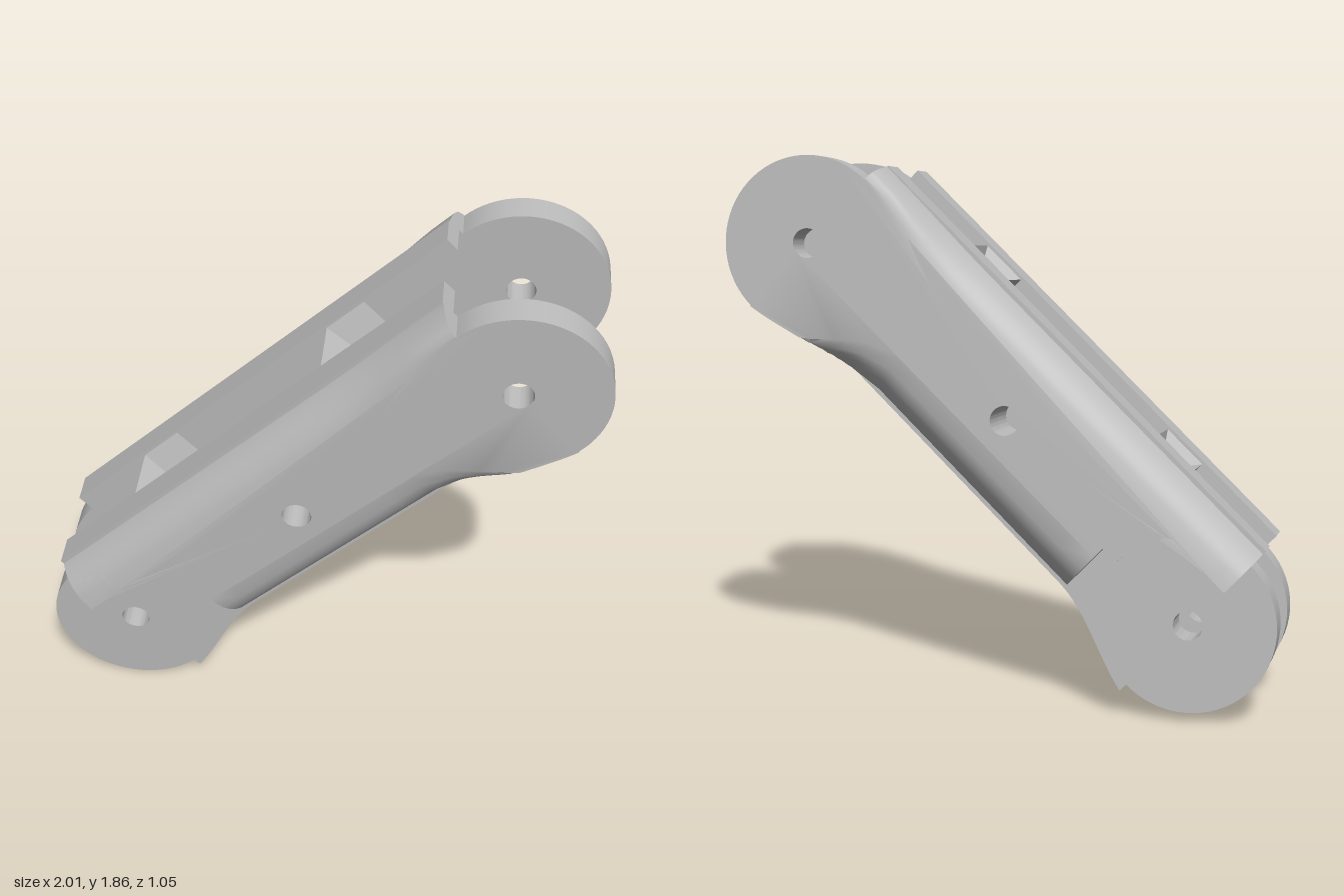
import * as THREE from 'three';
import { toCreasedNormals } from 'three/addons/utils/BufferGeometryUtils.js';

// Link space: x runs along the link, y towards its open edge, z across it.
const L = 1.807;        // distance between the two pivots
const R = 0.295;        // pivot ear radius
const CUT = 0.315;      // clearance radius around the neighbouring ear
const TOP = 0.365, BOTTOM = -0.217;
const IN = 0.11, MID = 0.22, OUT = 0.325;
const smooth = THREE.MathUtils.smoothstep;

function holeAt(x, y, r) {
  return new THREE.Path().absarc(x, y, r, 0, Math.PI * 2, true);
}

// Side outline: ear at x = 0, clearance cut around x = L
function earOutline(lip) {
  const p = [];
  const add = (x, y) => p.push(new THREE.Vector2(x, y));
  // flared lower edge, from the lip to the straight bottom
  for (let i = 0; i <= 12; i++) {
    const x = 0.4 * i / 12;
    add(x, THREE.MathUtils.lerp(lip, BOTTOM, smooth(x, -0.08, 0.4)));
  }
  for (let i = 1; i <= 10; i++) add(0.4 + (L - 0.376 - 0.4) * i / 10, BOTTOM);
  // step and round clearance
  add(L - 0.376, 0);
  for (let i = 0; i <= 16; i++) {
    const a = Math.PI - (Math.PI / 2) * i / 16;
    add(L + CUT * Math.cos(a), CUT * Math.sin(a));
  }
  // straight top edge
  for (let i = 0; i <= 18; i++) add(L * (1 - i / 18), TOP);
  // round ear
  for (let i = 0; i <= 36; i++) {
    const a = Math.PI / 2 + Math.PI * i / 36;
    add(R * Math.cos(a), R * Math.sin(a));
  }
  return p;
}

function plate(points, holes, z0, z1, steps) {
  const shape = new THREE.Shape(points);
  shape.holes.push(...holes);
  const g = new THREE.ExtrudeGeometry(shape, {
    depth: z1 - z0, steps, bevelEnabled: false, curveSegments: 24,
  });
  return g.translate(0, 0, z0);
}

// Round the long outer edges, fading out towards the flat upper ear
function roundEdges(g) {
  const pos = g.attributes.position, r = OUT - 0.15;
  for (let i = 0; i < pos.count; i++) {
    const x = pos.getX(i), y = pos.getY(i);
    const d = Math.min(r, pos.getZ(i) - 0.15);
    const inset = r - Math.sqrt(Math.max(0, r * r - d * d));
    const fade = smooth(x, 1.3, 1.75);
    const high = TOP - inset * (1 - 0.65 * fade);
    const low = fade < 1 ? BOTTOM + inset * (1 - fade) - 0.1 * fade : -1;
    pos.setY(i, Math.max(low, Math.min(high, y)));
  }
  return g;
}

export function createModel() {
  const metal = new THREE.MeshStandardMaterial({ color: 0xbdbdbd, side: THREE.DoubleSide });
  metal.name = 'grey metal';

  const link = new THREE.Group();
  link.name = 'armLink';
  const add = (parent, name, geometry) => {
    const m = new THREE.Mesh(toCreasedNormals(geometry, 0.6), metal);
    m.name = name;
    parent.add(m);
    return m;
  };

  // Side plates: inner layer carries the lower ear, outer layer the upper ear
  const inner = plate(earOutline(-0.335),
    [holeAt(0, 0, 0.05), holeAt(L / 2, 0.063, 0.05)], IN, MID, 1);
  const outerPoints = earOutline(-0.305).map(p => new THREE.Vector2(L - p.x, p.y));
  const outer = roundEdges(plate(outerPoints,
    [holeAt(L, 0, 0.05), holeAt(L / 2, 0.063, 0.05)], MID, OUT, 10));

  // Raised ring around the lower pivot, on the inner face
  const ring = new THREE.Shape().absarc(0, 0, 0.085, 0, Math.PI * 2, false);
  const boss = plate(ring.getPoints(24), [holeAt(0, 0, 0.05)], IN - 0.02, IN, 1);

  for (const [name, side] of [['frontSide', 1], ['backSide', -1]]) {
    const g = new THREE.Group();
    g.name = name;
    g.scale.z = side;
    add(g, 'innerPlate', inner);
    add(g, 'outerPlate', outer);
    add(g, 'pivotBoss', boss);
    link.add(g);
  }

  // Web closing the bottom between the plates
  const web = new THREE.BoxGeometry(0.78, 0.09, 2 * IN);
  add(link, 'bottomWeb', web.translate(0.895, BOTTOM + 0.045, 0));

  // Cross braces under the open edge: square blocks with a four-sided pit
  const profile = [[0, -0.5], [0.7071, -0.5], [0.7071, 0.5], [0, 0.1]]
    .map(([x, y]) => new THREE.Vector2(x, y));
  for (const x of [0.44, 1.35]) {
    const brace = new THREE.LatheGeometry(profile, 4, Math.PI / 4);
    brace.scale(0.17, 0.24, 2 * IN);
    add(link, 'crossBrace', brace.translate(x, 0.235, 0));
  }

  // Lay the link in its slanted pose
  const u = new THREE.Vector3(0.7125, 0.6834, -0.1594).normalize();
  const v = new THREE.Vector3(0.289, -0.076, 0.954).cross(u).normalize();
  const n = new THREE.Vector3().crossVectors(u, v);
  link.quaternion.setFromRotationMatrix(new THREE.Matrix4().makeBasis(u, v, n));
  link.position.set(-0.661, 0.311, 0.188);

  const model = new THREE.Group();
  model.name = 'model';
  model.add(link);
  return model;
}
